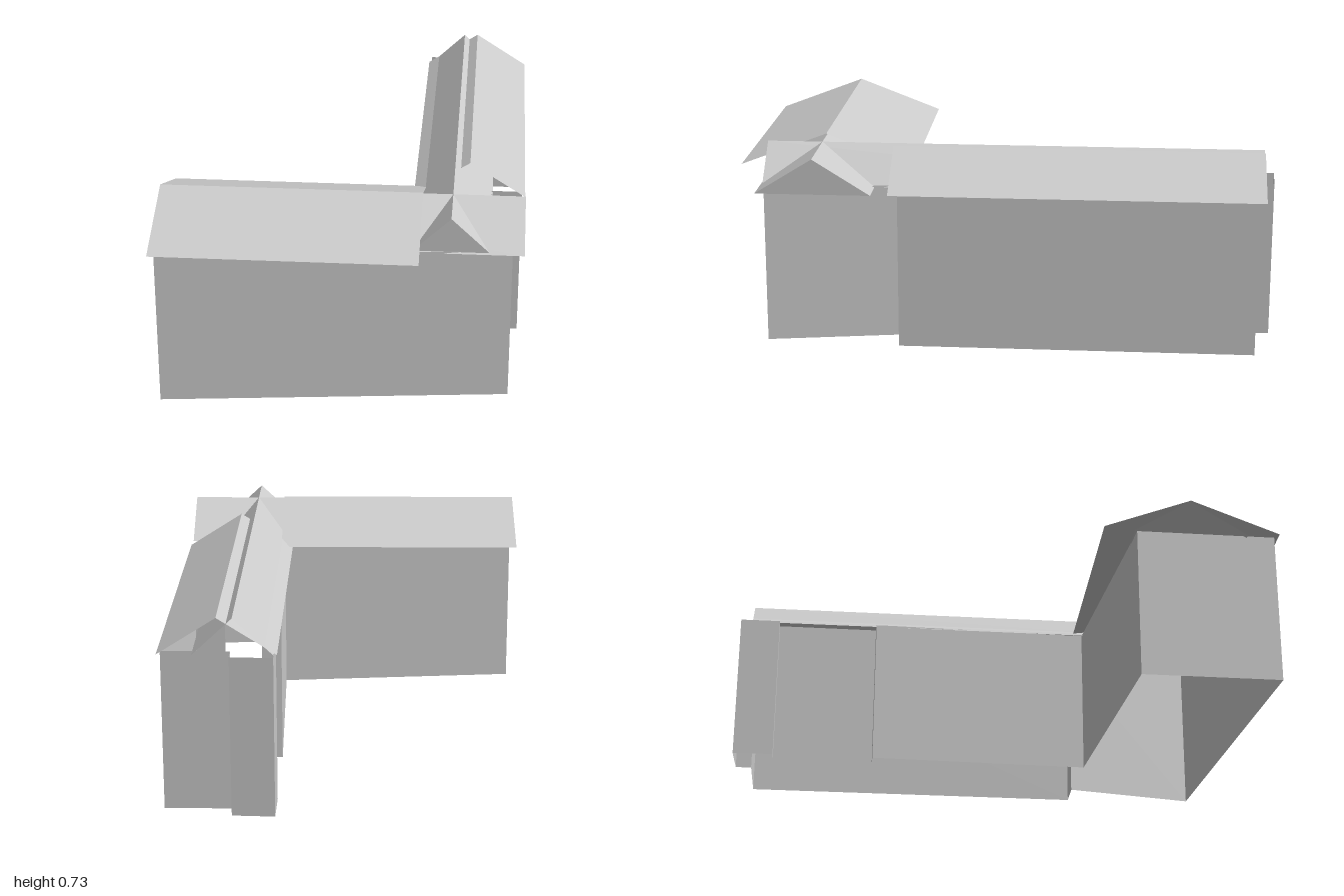
import * as THREE from 'three';

const material = new THREE.MeshStandardMaterial({
  color: 0xcccccc, flatShading: true, side: THREE.DoubleSide,
});

// Flat polygon mesh from corner points, as a fan
function panel(name, points) {
  const position = [];
  for (let i = 1; i < points.length - 1; i++) {
    position.push(...points[0], ...points[i], ...points[i + 1]);
  }
  const geometry = new THREE.BufferGeometry();
  geometry.setAttribute('position', new THREE.Float32BufferAttribute(position, 3));
  geometry.computeVertexNormals();
  const mesh = new THREE.Mesh(geometry, material);
  mesh.name = name;
  return mesh;
}

// Two thin slopes over a straight ridge, with an optional gable triangle at the far end
function gableRoof({ name, alongX, from, to, centre, half, eave, ridge, closedEnd }) {
  const roof = new THREE.Group();
  roof.name = name;
  const at = (along, across, y) =>
    alongX ? [along, y, centre + across] : [centre + across, y, along];
  for (const side of [1, -1]) {
    const corners = [
      at(from, 0, ridge), at(from, side * half, eave),
      at(to, side * half, eave), at(to, 0, ridge),
    ];
    // Keep every slope facing upwards
    if ((side === 1) !== alongX) corners.reverse();
    roof.add(panel('roofSlope', corners));
  }
  if (closedEnd) {
    const corners = [at(to, -half, eave), at(to, half, eave), at(to, 0, ridge)];
    if (alongX) corners.reverse();
    roof.add(panel('gableEnd', corners));
  }
  return roof;
}

export function createModel() {
  const model = new THREE.Group();
  model.name = 'building';

  // Walls: thin upright sheets around an irregular L-shaped footprint (x, z)
  const footprint = [
    [-0.90, 0.72], [0.37, 0.942], [0.422, 0.431], [0.54, 0.465],
    [0.906, -0.82], [0.67, -0.89], [0.687, -0.95], [0.54, -1.0],
    [0.495, -0.847], [0.543, -0.833], [0.435, -0.447], [0.385, -0.46],
    [0.17, 0.379], [-0.757, 0.21],
  ];
  const wallTop = 0.597;
  const walls = new THREE.Group();
  walls.name = 'walls';
  footprint.forEach(([x, z], i) => {
    const [nextX, nextZ] = footprint[(i + 1) % footprint.length];
    walls.add(panel('wall', [
      [x, 0, z], [nextX, 0, nextZ], [nextX, wallTop, nextZ], [x, wallTop, z],
    ]));
  });
  model.add(walls);

  // Roofs share a turned frame whose origin is where the ridges cross
  const roofs = new THREE.Group();
  roofs.name = 'roofs';
  roofs.position.set(0.21, 0, 0.699);
  roofs.rotation.y = -0.277;
  model.add(roofs);

  // Each wing has a steep inner roof and a wider outer roof over part of it
  roofs.add(
    gableRoof({
      name: 'sideWingOuterRoof', alongX: true, from: -1.085, to: -0.112,
      centre: 0.003, half: 0.337, eave: 0.6, ridge: 0.729, closedEnd: false,
    }),
    gableRoof({
      name: 'sideWingInnerRoof', alongX: true, from: -1.085, to: 0.263,
      centre: 0, half: 0.217, eave: 0.59, ridge: 0.725, closedEnd: true,
    }),
    gableRoof({
      name: 'longWingInnerRoof', alongX: false, from: -1.677, to: 0.21,
      centre: -0.002, half: 0.144, eave: 0.59, ridge: 0.725, closedEnd: true,
    }),
    gableRoof({
      name: 'longWingOuterRoof', alongX: false, from: -1.677, to: -0.28,
      centre: 0.054, half: 0.212, eave: 0.592, ridge: 0.727, closedEnd: false,
    }),
  );

  return model;
}
